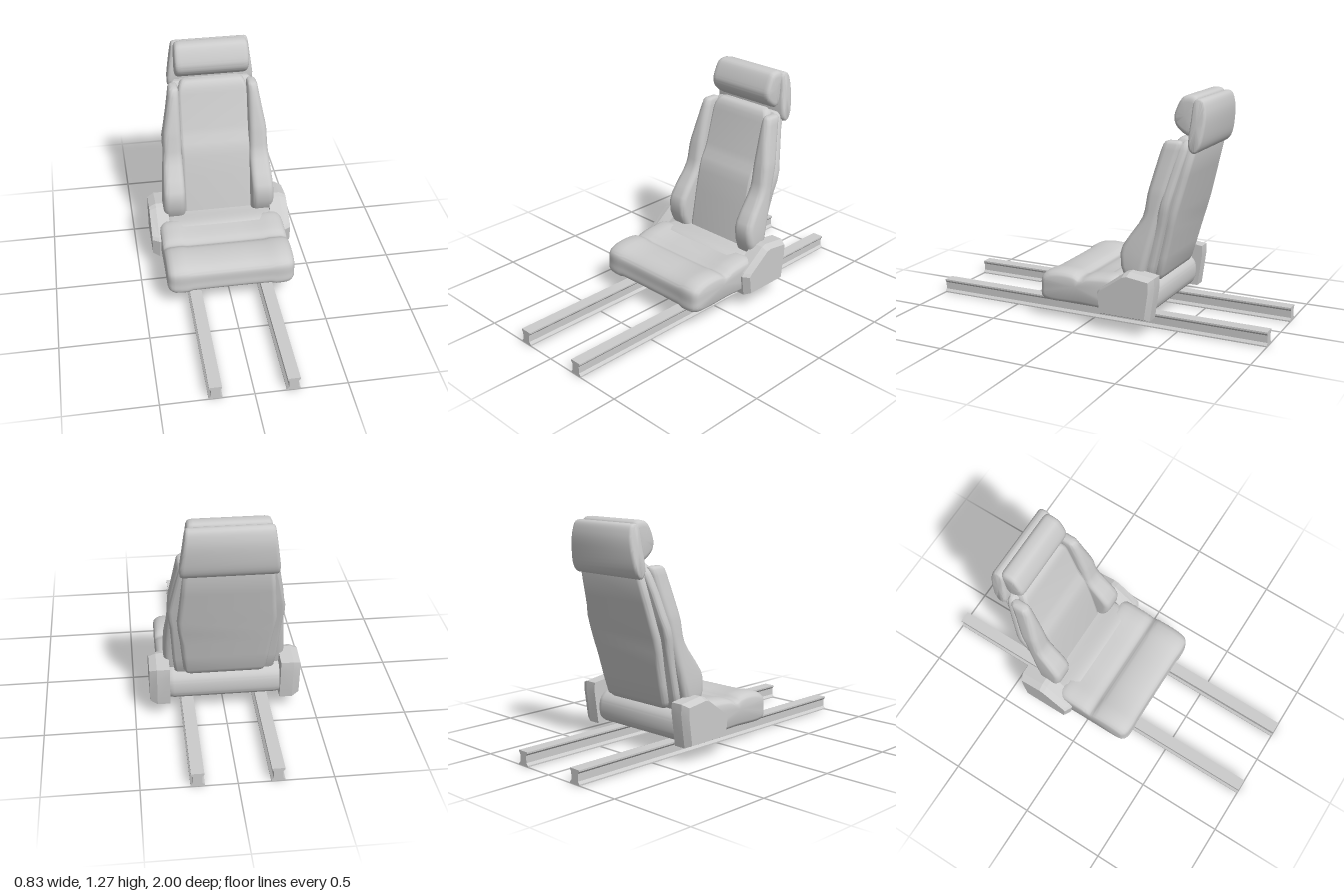
import * as THREE from 'three';
import { toCreasedNormals } from 'three/addons/utils/BufferGeometryUtils.js';

const grey = new THREE.MeshStandardMaterial({ color: 0xcccccc });

// Closed, capped skin over rings of [x, y, z]; always wound outwards
function loft(name, rings, crease = 0.75) {
  const n = rings[0].length, tris = [];
  for (let i = 0; i < rings.length - 1; i++) {
    for (let j = 0; j < n; j++) {
      const k = (j + 1) % n, a = rings[i][j], b = rings[i][k], c = rings[i + 1][k], d = rings[i + 1][j];
      tris.push([a, b, c], [a, c, d]);
    }
  }
  const mid = r => [0, 1, 2].map(c => r.reduce((s, p) => s + p[c], 0) / n);
  const first = rings[0], last = rings[rings.length - 1], m0 = mid(first), m1 = mid(last);
  for (let j = 0; j < n; j++) {
    const k = (j + 1) % n;
    tris.push([m0, first[k], first[j]], [m1, last[j], last[k]]);
  }
  const volume = tris.reduce((s, [a, b, c]) => s
    + a[0] * (b[1] * c[2] - b[2] * c[1])
    + a[1] * (b[2] * c[0] - b[0] * c[2])
    + a[2] * (b[0] * c[1] - b[1] * c[0]), 0);
  if (volume < 0) tris.forEach(t => t.reverse());
  const geo = new THREE.BufferGeometry();
  geo.setAttribute('position', new THREE.Float32BufferAttribute(tris.flat(2), 3));
  const mesh = new THREE.Mesh(toCreasedNormals(geo, crease), grey);
  mesh.name = name;
  return mesh;
}

// Smooth closed side profile through [z, y] points
function smooth(points, count = 56) {
  const curve = new THREE.CatmullRomCurve3(points.map(([z, y]) => new THREE.Vector3(0, y, z)), true);
  return curve.getPoints(count).slice(0, -1).map(p => [p.z, p.y]);
}

// Side profile carried across x, scaled about a centre at each [x, scaleZ, scaleY]
function across(name, profile, [cz, cy], stations, crease, width = () => 1) {
  return loft(name, stations.map(([x, sz, sy]) => profile.map(([z, y]) =>
    [x * width(y), cy + (y - cy) * sy, cz + (z - cz) * sz])), crease);
}
const mirrored = half => [...half.map(([x, a, b]) => [-x, a, b]), ...[...half].reverse()];

// Rounded rectangles stacked upwards: [y, x0, x1, zFront, zBack, radius]
function stack(name, stations, side = 1) {
  return loft(name, stations.map(([y, x0, x1, zf, zb, radius]) => {
    const r = Math.min(radius, (x1 - x0) * 0.49, (zf - zb) * 0.49), ring = [];
    const corners = [[x1 - r, zf - r], [x0 + r, zf - r], [x0 + r, zb + r], [x1 - r, zb + r]];
    corners.forEach(([cx, cz], q) => {
      for (let i = 0; i <= 6; i++) {
        const t = (q + i / 6) * Math.PI / 2;
        ring.push([side * (cx + r * Math.cos(t)), y, cz + r * Math.sin(t)]);
      }
    });
    return ring;
  }));
}

export function createModel() {
  const seat = new THREE.Group();
  seat.name = 'carSeat';

  // Floor rails with a waisted section
  const half = [[0.037, 0], [0.037, 0.007], [0.025, 0.02], [0.025, 0.06], [0.034, 0.071], [0.034, 0.08]];
  const section = [...half, ...[...half].reverse().map(([x, y]) => [-x, y])];
  for (const s of [-1, 1]) {
    seat.add(loft('rail', [-1, 1].map(z => section.map(([x, y]) => [s * 0.207 + x, y, z])), 0.2));
  }

  // Seat cushion: raised sides, slightly recessed middle, crease across the top
  const cushion = smooth([[0.283, 0.12], [0.284, 0.17], [0.28, 0.235], [0.25, 0.262], [0.2, 0.278], [0.13, 0.283],
    [0.07, 0.275], [0.035, 0.258], [-0.02, 0.274], [-0.08, 0.283], [-0.17, 0.285], [-0.198, 0.265],
    [-0.2, 0.13], [-0.18, 0.101], [0.03, 0.1], [0.26, 0.101]], 80);
  seat.add(across('seatCushion', cushion, [0.04, 0.19], mirrored([
    [0.365, 0.84, 0.66], [0.36, 0.9, 0.78], [0.345, 0.96, 0.9], [0.325, 0.99, 0.98],
    [0.29, 1, 1], [0.255, 1, 1], [0.225, 0.985, 0.92], [0.1, 0.98, 0.91]])));

  // Rear of the cushion, between the hinge covers
  const rear = smooth([[-0.1, 0.27], [-0.25, 0.28], [-0.34, 0.27], [-0.38, 0.235], [-0.392, 0.19],
    [-0.385, 0.13], [-0.36, 0.102], [-0.25, 0.1], [-0.1, 0.102]]);
  seat.add(across('cushionRear', rear, [-0.24, 0.19], mirrored([
    [0.32, 0.9, 0.85], [0.305, 0.97, 0.95], [0.28, 1, 1]])));

  // Hinge covers, chamfered on the outside
  const cover = [[-0.1, 0.085], [-0.085, 0.205], [-0.1, 0.225], [-0.25, 0.335], [-0.28, 0.344],
    [-0.42, 0.325], [-0.422, 0.27], [-0.397, 0.085]];
  for (const s of [-1, 1]) {
    seat.add(across('hingeCover', cover, [-0.26, 0.215], [
      [s * 0.305, 1, 1], [s * 0.375, 1, 1], [s * 0.415, 0.88, 0.86]], 0.3));
  }

  // Backrest centre pad with lumbar step
  const pad = [[0.22, 0.205, -0.25], [0.28, 0.205, -0.26], [0.5, 0.205, -0.298], [0.62, 0.205, -0.322],
    [0.67, 0.205, -0.335], [0.7, 0.205, -0.348], [0.74, 0.205, -0.37], [0.78, 0.205, -0.386],
    [0.98, 0.203, -0.44], [1.01, 0.198, -0.449], [1.035, 0.187, -0.46], [1.047, 0.175, -0.472], [1.051, 0.165, -0.483]];
  seat.add(stack('backrestPad', pad.map(([y, x, z], i) =>
    [y, -x, x, z, -0.345 - (y - 0.33) * 0.257 + (i > 10 ? 0.012 : 0), 0.02])));

  // Side bolsters: [y, outer x, front z]
  const bolster = [[0.25, 0.31, -0.24], [0.29, 0.328, -0.215], [0.35, 0.333, -0.196], [0.42, 0.329, -0.19],
    [0.46, 0.327, -0.202], [0.52, 0.322, -0.24], [0.59, 0.316, -0.29], [0.63, 0.313, -0.312], [0.67, 0.31, -0.323],
    [0.75, 0.307, -0.335], [0.79, 0.302, -0.344], [0.9, 0.281, -0.37], [0.99, 0.265, -0.395]];
  for (const s of [-1, 1]) {
    const rows = bolster.map(([y, x, z]) => [y, 0.2, x, z, -0.335 - (y - 0.33) * 0.257, 0.035]);
    rows.push([1.02, 0.202, 0.26, -0.407, -0.512, 0.03], [1.032, 0.206, 0.253, -0.417, -0.507, 0.025],
      [1.037, 0.214, 0.243, -0.43, -0.495, 0.015]);
    seat.add(stack('sideBolster', rows, s));
  }

  // Backrest frame and the raised shell behind it: [y, half width]
  const slab = (name, rows, front, back, r) => seat.add(stack(name, rows.map(([y, x, inset = 0]) =>
    [y, -x, x, front - (y - 0.33) * 0.257 - inset, back - (y - 0.33) * 0.257 + inset, r])));
  slab('backrestFrame', [[0.24, 0.255, 0.012], [0.27, 0.275], [0.36, 0.285], [0.5, 0.293], [0.6, 0.3], [0.66, 0.309],
    [0.72, 0.309], [0.78, 0.296], [0.9, 0.272], [0.99, 0.25], [1.02, 0.238, 0.004], [1.035, 0.22, 0.015]],
  -0.315, -0.372, 0.022);
  slab('backShell', [[0.265, 0.2, 0.015], [0.275, 0.215, 0.006], [0.3, 0.228], [0.4, 0.238], [0.5, 0.247], [0.58, 0.258],
    [0.66, 0.264], [0.74, 0.256], [0.85, 0.246], [1, 0.232], [1.015, 0.222, 0.006], [1.025, 0.21, 0.015]],
  -0.35, -0.41, 0.028);

  // Headrest cushion
  const head = smooth([[-0.446, 1.15], [-0.452, 1.185], [-0.487, 1.255], [-0.508, 1.269], [-0.56, 1.269],
    [-0.576, 1.25], [-0.57, 1.15], [-0.55, 1.08], [-0.53, 1.061], [-0.508, 1.067], [-0.458, 1.11]]);
  seat.add(across('headrestCushion', head, [-0.515, 1.165], mirrored([
    [0.215, 0.72, 0.68], [0.213, 0.82, 0.8], [0.207, 0.92, 0.92], [0.197, 0.98, 0.98], [0.18, 1, 1]])));

  // Headrest back shell, narrowing upwards
  const headBack = smooth([[-0.562, 1.245], [-0.58, 1.257], [-0.612, 1.25], [-0.63, 1.2], [-0.63, 1.12],
    [-0.605, 1.005], [-0.575, 0.976], [-0.547, 0.995], [-0.541, 1.05], [-0.55, 1.15]]);
  seat.add(across('headrestShell', headBack, [-0.585, 1.115], mirrored([
    [0.252, 0.65, 0.9], [0.25, 0.78, 0.94], [0.244, 0.92, 0.98], [0.232, 1, 1]]),
  0.75, y => 1 - Math.max(0, y - 1.03) * 0.5));

  return seat;
}
